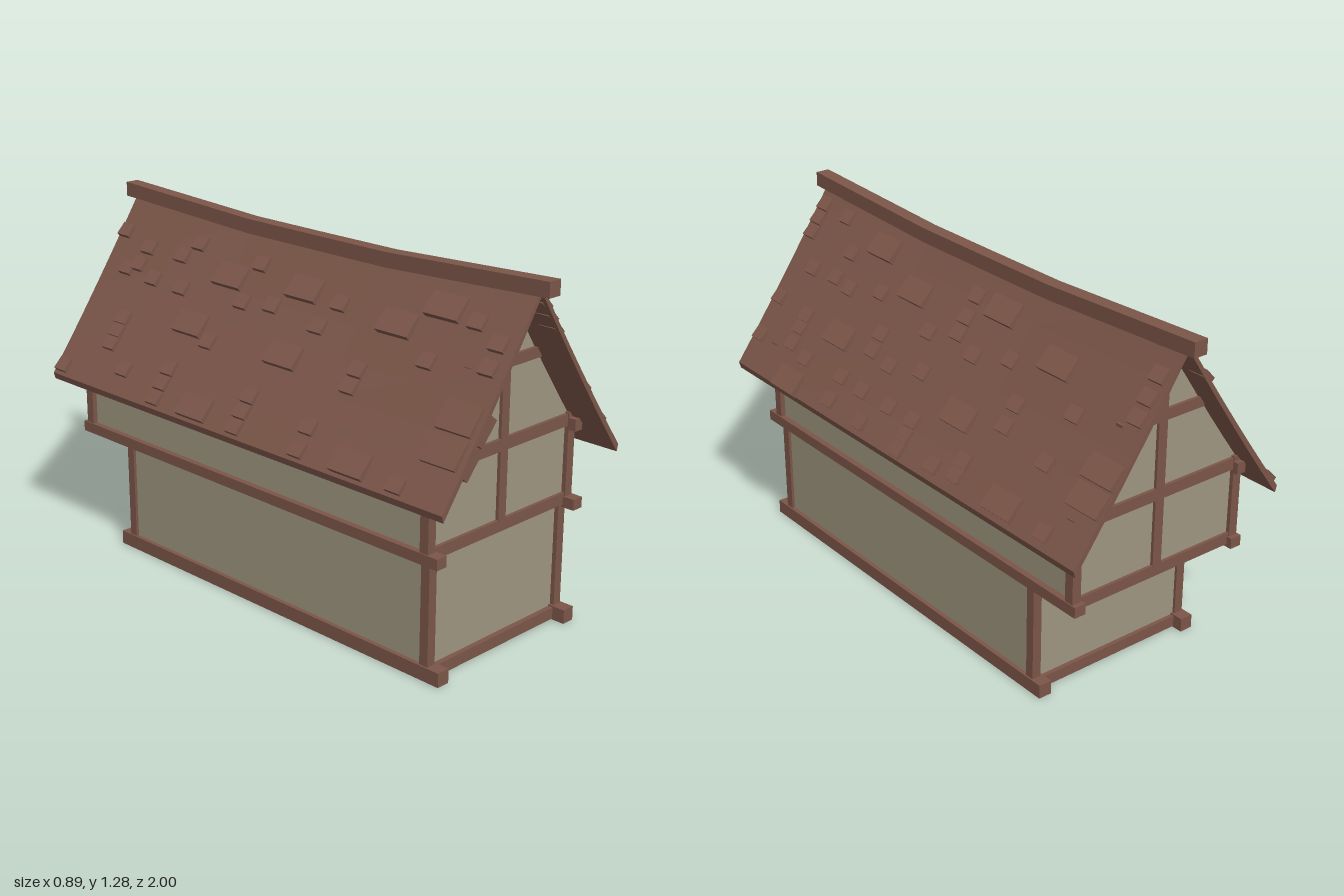
import * as THREE from 'three';

const timber = new THREE.MeshStandardMaterial({ color: 0x7c5649 });
timber.name = 'brown timber';
const plaster = new THREE.MeshStandardMaterial({ color: 0x9f9680 });
plaster.name = 'plaster';

// Roof section: height of the outer surface at slope fraction t (0 ridge, 1 eave)
const HALF = 0.434, DROP = 0.62;
const roofY = t => 1.255 - 0.66 * t + 0.04 * t * t;
// The ridge dips in the middle of its length
const sag = z => 0.03 * (1 - Math.min(1, Math.max(0, (Math.abs(z) - 0.32) / 0.68)));

// Box given by its limits on each axis
function block(parent, name, mat, [x0, x1], [y0, y1], [z0, z1]) {
  const m = new THREE.Mesh(new THREE.BoxGeometry(x1 - x0, y1 - y0, z1 - z0), mat);
  m.position.set((x0 + x1) / 2, (y0 + y1) / 2, (z0 + z1) / 2);
  m.name = name;
  parent.add(m);
  return m;
}
const span = (s, a, b) => (s > 0 ? [a, b] : [-b, -a]);

function bend(geo, weight) {
  const p = geo.attributes.position;
  for (let i = 0; i < p.count; i++) p.setY(i, p.getY(i) - sag(p.getZ(i)) * weight(p.getY(i)));
  geo.computeVertexNormals();
  return geo;
}

function gable(parent, name, z) {
  const s = new THREE.Shape();
  s.moveTo(-0.338, 0.42);
  s.lineTo(0.338, 0.42);
  for (let i = 6; i >= -6; i--) s.lineTo(0.338 * i / 6, roofY(Math.abs(0.338 * i / 6) / HALF) - 0.025);
  const m = new THREE.Mesh(new THREE.ExtrudeGeometry(s, { depth: 0.006, bevelEnabled: false }), plaster);
  m.position.z = z;
  m.name = name;
  parent.add(m);
}

// Timber frame on one gable end
function gableFrame(parent, end, z) {
  block(parent, end + 'FloorBeam', timber, [-0.322, 0.322], [0.417, 0.458], z);
  block(parent, end + 'MiddleBeam', timber, [-0.325, 0.325], [0.693, 0.735], z);
  block(parent, end + 'CollarBeam', timber, [-0.172, 0.172], [0.965, 1.003], z);
  block(parent, end + 'KingPost', timber, [-0.018, 0.018], [0.458, 1.22], z);
}

function buildHouse() {
  const g = new THREE.Group();
  g.name = 'house';
  g.position.x = 0.003;
  for (const s of [1, -1]) {
    const side = s > 0 ? 'left' : 'right';
    // Ground floor
    block(g, side + 'LowerWall', plaster, span(s, 0.32, 0.326), [0.02, 0.43], [-0.645, 0.81]);
    block(g, side + 'BaseBeam', timber, span(s, 0.293, 0.342), [0, 0.05], [-0.703, 0.873]);
    block(g, side + 'FrontLowerPost', timber, span(s, 0.302, 0.336), [0.04, 0.43], [0.787, 0.822]);
    block(g, side + 'BackLowerPost', timber, span(s, 0.302, 0.336), [0.04, 0.43], [-0.66, -0.627]);
    // Upper floor
    block(g, side + 'UpperWall', plaster, span(s, 0.332, 0.338), [0.43, 0.73], [-0.85, 0.815]);
    block(g, side + 'FloorBeam', timber, span(s, 0.316, 0.36), [0.407, 0.445], [-0.885, 0.873]);
    block(g, side + 'WallPlate', timber, span(s, 0.322, 0.358), [0.68, 0.722], [-0.885, 0.86]);
    block(g, side + 'FrontUpperPost', timber, span(s, 0.322, 0.356), [0.44, 0.74], [0.797, 0.832]);
    block(g, side + 'BackUpperPost', timber, span(s, 0.322, 0.356), [0.44, 0.74], [-0.868, -0.833]);
  }
  block(g, 'frontLowerWall', plaster, [-0.322, 0.322], [0.02, 0.43], [0.8, 0.806]);
  block(g, 'backLowerWall', plaster, [-0.322, 0.322], [0.02, 0.43], [-0.65, -0.644]);
  block(g, 'frontBaseBeam', timber, [-0.3, 0.3], [0.004, 0.045], [0.785, 0.825]);
  block(g, 'backBaseBeam', timber, [-0.3, 0.3], [0.004, 0.045], [-0.665, -0.625]);
  block(g, 'overhangFloor', plaster, [-0.335, 0.335], [0.422, 0.43], [-0.85, -0.645]);
  gable(g, 'frontGable', 0.81);
  gable(g, 'backGable', -0.854);
  gableFrame(g, 'front', [0.8, 0.828]);
  gableFrame(g, 'back', [-0.865, -0.837]);
  return g;
}

function buildRoof() {
  const g = new THREE.Group();
  g.name = 'roof';
  // Two-sided slab with a slightly hollow slope
  const s = new THREE.Shape();
  const N = 6;
  s.moveTo(-HALF, roofY(1));
  for (let i = -N + 1; i <= N; i++) s.lineTo(HALF * i / N, roofY(Math.abs(i) / N));
  for (let i = N; i >= -N; i--) s.lineTo(HALF * 0.985 * i / N, roofY(Math.abs(i) / N) - 0.024);
  const slab = new THREE.ExtrudeGeometry(s, { depth: 1.91, steps: 6, bevelEnabled: false });
  slab.translate(0, 0, -0.955);
  const roof = new THREE.Mesh(bend(slab, y => Math.max(0, (y - 0.63) / DROP)), timber);
  roof.name = 'roofSlopes';
  g.add(roof);
  // Ridge beam
  const ridgeGeo = new THREE.BoxGeometry(0.052, 0.052, 2, 1, 1, 6);
  ridgeGeo.translate(0, 1.254, 0);
  const ridge = new THREE.Mesh(bend(ridgeGeo, () => 1), timber);
  ridge.name = 'ridgeBeam';
  g.add(ridge);
  return g;
}

// Loose shingles: pairs of z and height (left slope) or z and distance out (right slope)
const leftSmall = [
  0.91, 1.19, 0.91, 1.145, 0.91, 1.1, 0.76, 1.185, 0.65, 1.1, 0.81, 1.005, 0.67, 1.015, 0.575, 1.005,
  0.41, 1.04, 0.91, 0.88, 0.72, 0.87, 0.72, 0.83, 0.72, 0.775, 0.91, 0.75, 0.61, 0.755, 0.31, 0.935,
  0.31, 0.88, 0.195, 0.865, 0.1, 1.005, 0.035, 0.895, -0.035, 1.155, -0.035, 1.09, -0.035, 1.04,
  -0.145, 1.005, -0.31, 1.04, -0.425, 0.94, -0.425, 0.875, -0.67, 0.985, -0.655, 0.84, -0.905, 1.16,
  -0.905, 1.1, -0.905, 1.045, 0.39, 0.765, 0.39, 0.685, 0.26, 0.76, 0.1, 0.76, 0.195, 0.675,
  -0.035, 0.76, -0.035, 0.71, -0.035, 0.665, -0.22, 0.68, -0.335, 0.735, -0.335, 0.69, -0.78, 0.68];
const leftLarge = [
  0.5, 1.16, 0.25, 1.09, -0.18, 1.15, -0.51, 1.085, 0.505, 0.87, -0.22, 0.84, 0.64, 0.67,
  -0.575, 0.69, -0.88, 0.89, -0.88, 0.81];
const rightSmall = [
  -0.73, 0.33, -0.73, 0.3, -0.73, 0.27, -0.915, 0.41, -0.92, 0.09, -0.78, 0.15, -0.765, 0.11,
  -0.83, 0.165, -0.675, 0.17, -0.605, 0.375, -0.585, 0.105, -0.52, 0.17, -0.525, 0.07, -0.395, 0.41,
  -0.395, 0.375, -0.395, 0.34, -0.21, 0.16, -0.2, 0.075, -0.07, 0.15, -0.28, 0.26, 0.02, 0.41,
  0.02, 0.375, 0.02, 0.34, 0.165, 0.165, 0.32, 0.41, 0.32, 0.36, 0.405, 0.26, 0.405, 0.225,
  0.215, 0.11, 0.655, 0.175, 0.75, 0.41, 0.89, 0.16, 0.89, 0.115, 0.78, 0.085];
const rightLarge = [
  0.55, 0.4, 0.48, 0.12, 0.08, 0.24, 0.04, 0.1, -0.315, 0.115, -0.395, 0.235, 0.64, 0.07, -0.19, 0.4];

function buildShingles() {
  const g = new THREE.Group();
  g.name = 'shingles';
  const slope = Math.atan2(-DROP, HALF);
  const small = new THREE.BoxGeometry(0.052, 0.026, 0.06);
  const large = new THREE.BoxGeometry(0.085, 0.03, 0.14);
  const deep = new THREE.BoxGeometry(0.1, 0.085, 0.14);
  const lay = (geo, s, z, t, lift, tilt = 0.16) => {
    const m = new THREE.Mesh(geo, timber);
    const y = roofY(t) - sag(z) * (1 - t);
    m.position.set(s * (HALF * t + 0.82 * lift), y + 0.57 * lift, z);
    m.rotation.z = s * (slope + tilt);
    m.name = 'shingle';
    g.add(m);
  };
  const layAll = (geo, s, list, toT) => {
    for (let i = 0; i < list.length; i += 2) lay(geo, s, list[i], toT(list[i + 1]), 0.001);
  };
  const fromY = y => (1.255 - y) / DROP, fromX = x => x / HALF;
  layAll(small, 1, leftSmall, fromY);
  layAll(large, 1, leftLarge, fromY);
  layAll(small, -1, rightSmall, fromX);
  layAll(large, -1, rightLarge, fromX);
  // Two thick shingles that reach through the front corner of the right slope
  for (const x of [0.325, 0.26]) lay(deep, -1, 0.865, fromX(x), -0.03, 0.1);
  return g;
}

export function createModel() {
  const model = new THREE.Group();
  model.name = 'timberFramedHouse';
  model.add(buildHouse(), buildRoof(), buildShingles());
  return model;
}
